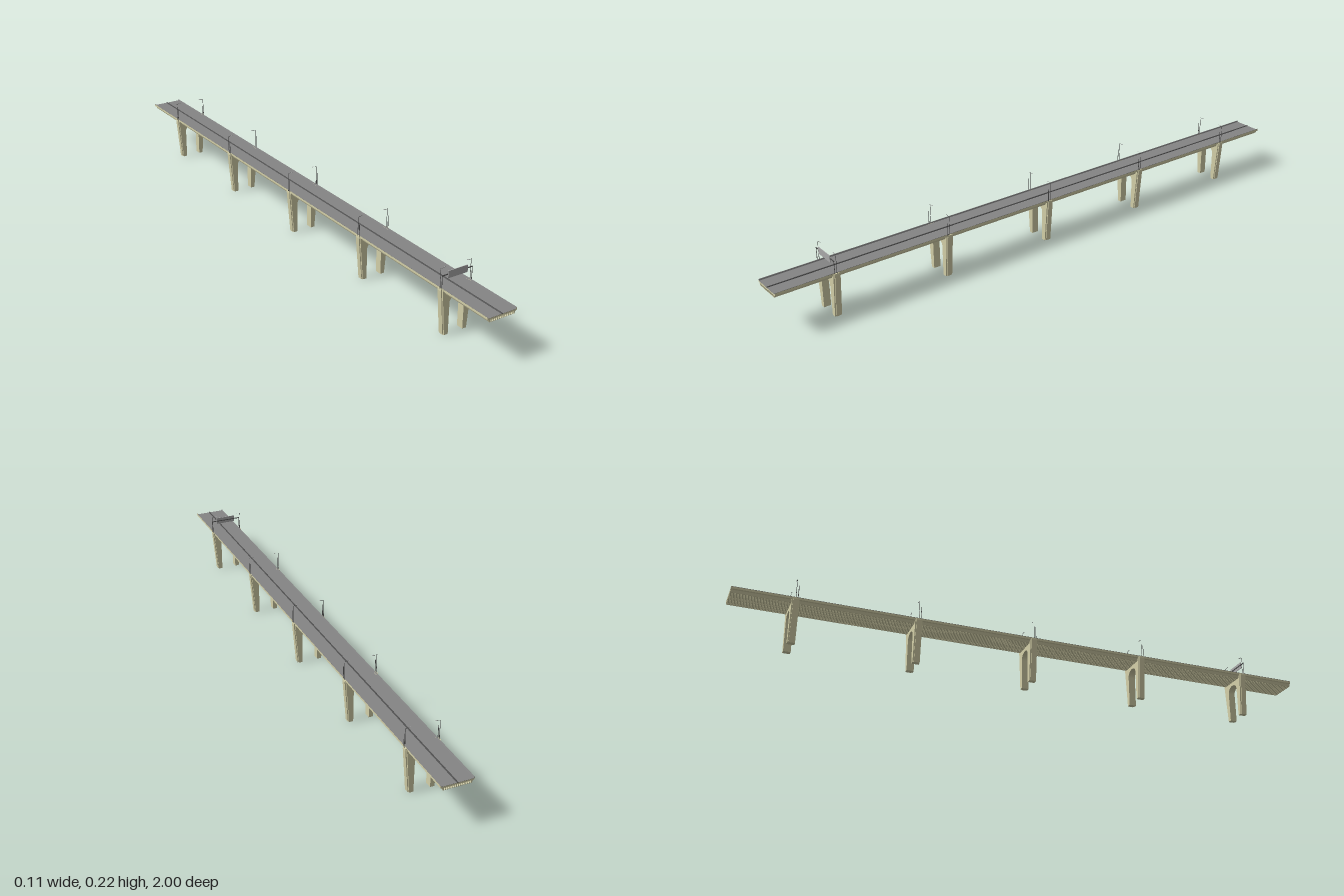
import * as THREE from 'three';

const mat = (color) => new THREE.MeshStandardMaterial({ color, flatShading: true });
const concrete = mat(0xd3cfa8);
const asphalt = mat(0x858585);
const darkMetal = mat(0x4c4c4c);
const signGrey = mat(0xaaaaaa);

const PIERS = [-0.8, -0.4, 0, 0.4, 0.8];
const LENGTH = 2;

function add(parent, name, geometry, material, x = 0, y = 0, z = 0) {
  const mesh = new THREE.Mesh(geometry, material);
  mesh.name = name;
  mesh.position.set(x, y, z);
  parent.add(mesh);
  return mesh;
}

// Extrude an outline along z, centred on z = 0
function extrude(shape, depth) {
  const g = new THREE.ExtrudeGeometry(shape, { depth, bevelEnabled: false, curveSegments: 10 });
  g.translate(0, 0, -depth / 2);
  return g;
}

const outline = (points) => new THREE.Shape(points.map(([x, y]) => new THREE.Vector2(x, y)));
const mirrorOutline = (half) => outline([...half, ...half.map(([x, y]) => [-x, y]).reverse()]);

// Deck: slab with parapets above and bulb-footed girders below
function deckShape() {
  const points = [[-0.044, 0.136]];
  const gaps = 13, pitch = 0.0066;
  for (let i = 0; i < gaps; i++) {
    const c = (i - (gaps - 1) / 2) * pitch;
    points.push(
      [c - 0.001, 0.136], [c - 0.0012, 0.137], [c - 0.0023, 0.1385], [c - 0.0023, 0.1425], [c - 0.001, 0.1445],
      [c + 0.001, 0.1445], [c + 0.0023, 0.1425], [c + 0.0023, 0.1385], [c + 0.0012, 0.137], [c + 0.001, 0.136]);
  }
  const side = [[0.044, 0.136], [0.048, 0.144], [0.0525, 0.146], [0.0525, 0.1535], [0.051, 0.1535], [0.0495, 0.149]];
  points.push(...side, ...side.map(([x, y]) => [-x, y]).reverse().slice(0, -1));
  return outline(points);
}

// Pier: tapered legs joined by an arch, with arms cradling the deck
function pierShape() {
  const s = new THREE.Shape();
  s.moveTo(0.027, 0);
  s.lineTo(0.041, 0);
  s.lineTo(0.0535, 0.145);
  s.lineTo(0.0535, 0.15);
  s.lineTo(0.0495, 0.15);
  s.lineTo(0.0435, 0.1358);
  s.lineTo(-0.0435, 0.1358);
  s.lineTo(-0.0495, 0.15);
  s.lineTo(-0.0535, 0.15);
  s.lineTo(-0.0535, 0.145);
  s.lineTo(-0.041, 0);
  s.lineTo(-0.027, 0);
  s.lineTo(-0.027, 0.103);
  s.absellipse(0, 0.103, 0.027, 0.021, Math.PI, 0, true);
  s.lineTo(0.027, 0);
  return s;
}

function pilasterShape(side) {
  const pts = [[0.040, 0], [0.0435, 0], [0.057, 0.145], [0.0565, 0.1515], [0.052, 0.1515], [0.052, 0.145]];
  return outline(pts.map(([x, y]) => [x * side, y]));
}

// Lamp post with a curved arm over the road and a short one behind
function lampPost(side) {
  const lamp = new THREE.Group();
  lamp.name = 'lampPost';
  add(lamp, 'lampPole', new THREE.CylinderGeometry(0.0006, 0.001, 0.067, 6), darkMetal, side * 0.055, 0.1805);
  const arm = new THREE.QuadraticBezierCurve3(
    new THREE.Vector3(side * 0.057, 0.2145, 0),
    new THREE.Vector3(side * 0.05, 0.2135, 0),
    new THREE.Vector3(side * 0.04, 0.2165, 0));
  add(lamp, 'lampArm', new THREE.TubeGeometry(arm, 6, 0.0005, 5), darkMetal);
  add(lamp, 'lampHead', new THREE.BoxGeometry(0.005, 0.0008, 0.002), signGrey, side * 0.041, 0.2162);
  return lamp;
}

export function createModel() {
  const model = new THREE.Group();
  model.name = 'viaduct';

  add(model, 'deck', extrude(deckShape(), LENGTH), concrete);
  const road = [[0.0, 0.1486], [0.05, 0.1486], [0.0526, 0.1532], [0.0526, 0.154], [0.051, 0.154], [0.0494, 0.1496], [0, 0.1496]];
  add(model, 'roadSurface', extrude(mirrorOutline(road.slice(1, -1)), LENGTH), asphalt);
  const median = [[0.0028, 0.149], [0.0022, 0.1505], [0.001, 0.152]];
  add(model, 'medianBarrier', extrude(mirrorOutline(median), LENGTH), darkMetal);

  const pierGeometry = extrude(pierShape(), 0.024);
  for (const z of PIERS) {
    const pier = new THREE.Group();
    pier.name = 'pier';
    pier.position.z = z;
    add(pier, 'archedPier', pierGeometry, concrete);
    for (const side of [-1, 1]) {
      add(pier, 'pilaster', extrude(pilasterShape(side), 0.016), concrete);
      pier.add(lampPost(side));
      add(pier, 'shortPost', new THREE.CylinderGeometry(0.0009, 0.0011, 0.046, 6), darkMetal, side * 0.0545, 0.171, 0.007);
    }
    model.add(pier);
  }

  // Sign gantry over the front pier
  const gantry = new THREE.Group();
  gantry.name = 'signGantry';
  gantry.position.z = 0.807;
  add(gantry, 'gantryBeam', new THREE.BoxGeometry(0.11, 0.0025, 0.0025), darkMetal, 0, 0.194);
  add(gantry, 'signBoard', new THREE.BoxGeometry(0.071, 0.023, 0.002), signGrey, 0, 0.194, 0.002);
  model.add(gantry);

  return model;
}
